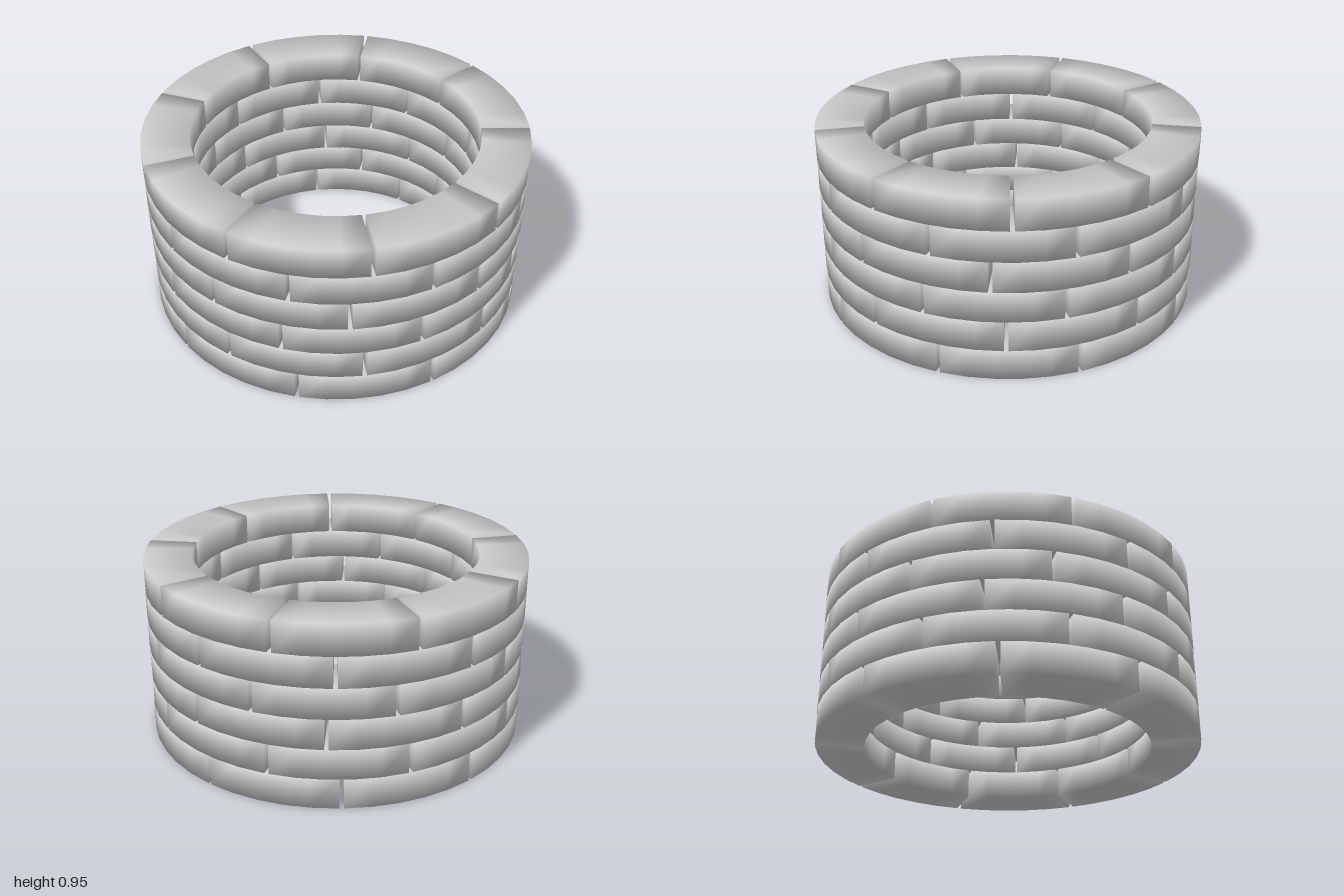
import * as THREE from 'three';
import { mergeVertices } from 'three/addons/utils/BufferGeometryUtils.js';

const DEG = Math.PI / 180;
const BLOCKS = 9, ROW_HEIGHT = 0.159, INNER = 0.75, OUTER = 1, GAP = 1.3;
// angle of one joint in each course, bottom to top, in degrees from +z towards +x
const JOINTS = [20, -0.8, 15.8, -5, 18.3, 0.9];

// One block: a box bent along the ring, with normals shared across its edges
function blockGeometry() {
  const span = (360 / BLOCKS - GAP) * DEG;
  const box = new THREE.BoxGeometry(span, ROW_HEIGHT, OUTER - INNER, 5, 1, 1);
  box.deleteAttribute('normal');
  box.deleteAttribute('uv');
  const geometry = mergeVertices(box);
  const p = geometry.attributes.position;
  for (let i = 0; i < p.count; i++) {
    const angle = p.getX(i);
    const radius = p.getZ(i) + (INNER + OUTER) / 2;
    p.setXYZ(i, radius * Math.sin(angle), p.getY(i), radius * Math.cos(angle));
  }
  geometry.computeVertexNormals();
  return geometry;
}

export function createModel() {
  const model = new THREE.Group();
  model.name = 'stoneRingWall';
  const stone = new THREE.MeshStandardMaterial({ color: 0xcccccc });
  const geometry = blockGeometry();

  // Stacked courses, each turned so that the joints are staggered
  JOINTS.forEach((joint, row) => {
    const course = new THREE.Group();
    course.name = `course${row + 1}`;
    course.position.y = (row + 0.5) * ROW_HEIGHT;
    for (let i = 0; i < BLOCKS; i++) {
      const block = new THREE.Mesh(geometry, stone);
      block.name = `block${i + 1}`;
      block.rotation.y = (joint + (i + 0.5) * 360 / BLOCKS) * DEG;
      course.add(block);
    }
    model.add(course);
  });
  return model;
}
